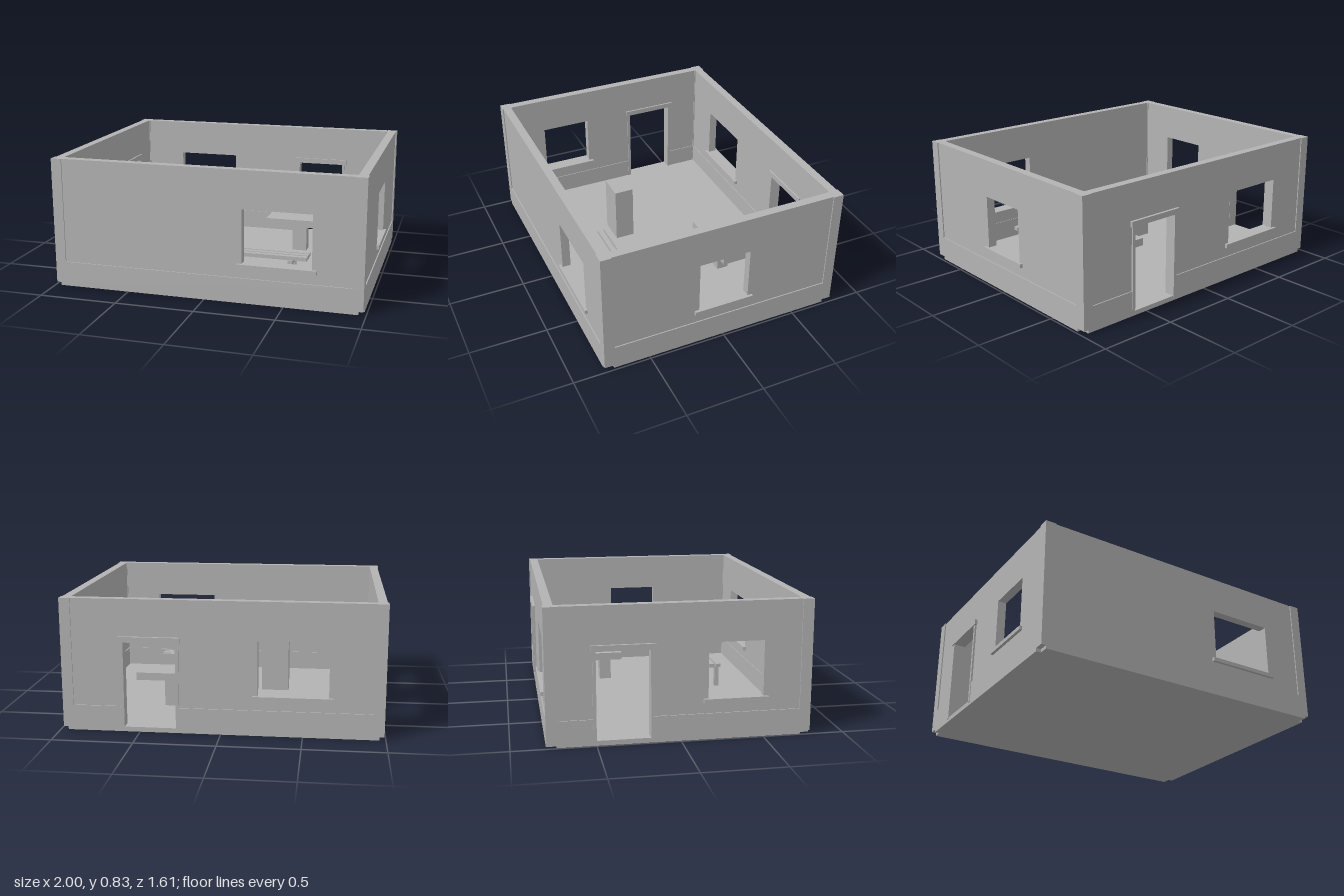
import * as THREE from 'three';

const H = 0.83, HX = 0.98, HZ = 0.787;   // wall height, outer half sizes
const T = 0.055, PROUD = 0.007;          // wall thickness, plinth and post relief
const PLINTH = 0.16, BASE = 0.02, FLOOR = 0.03;
const SILL = 0.25, HEAD = 0.59, DOOR_HEAD = 0.565;

export function createModel() {
  const plaster = new THREE.MeshStandardMaterial({ color: 0xb3b3b3 });
  plaster.name = 'grey plaster';
  const model = new THREE.Group();
  model.name = 'room';
  const house = new THREE.Group();
  house.name = 'house';
  house.position.x = -0.004;
  model.add(house);

  // Box given by its limits on each axis
  function box(parent, name, x0, x1, y0, y1, z0, z1) {
    const mesh = new THREE.Mesh(new THREE.BoxGeometry(x1 - x0, y1 - y0, z1 - z0), plaster);
    mesh.position.set((x0 + x1) / 2, (y0 + y1) / 2, (z0 + z1) / 2);
    mesh.name = name;
    parent.add(mesh);
    return mesh;
  }

  function rectangle(path, x0, x1, y0, y1) {
    path.moveTo(x0, y0);
    path.lineTo(x1, y0);
    path.lineTo(x1, y1);
    path.lineTo(x0, y1);
    path.closePath();
    return path;
  }

  // Wall facing local +z, with openings, plinth, sills and door frames
  function addWall(name, angle, halfLength, outer, windows, doors) {
    const wall = new THREE.Group();
    wall.name = name;
    wall.rotation.y = angle;
    house.add(wall);

    // Outline runs along the bottom and steps around each door
    const shape = new THREE.Shape();
    shape.moveTo(-halfLength, BASE);
    for (const [c, w] of doors) {
      shape.lineTo(c - w / 2, BASE);
      shape.lineTo(c - w / 2, HEAD);
      shape.lineTo(c + w / 2, HEAD);
      shape.lineTo(c + w / 2, BASE);
    }
    shape.lineTo(halfLength, BASE);
    shape.lineTo(halfLength, H);
    shape.lineTo(-halfLength, H);
    shape.closePath();
    for (const [c, w] of windows) {
      shape.holes.push(rectangle(new THREE.Path(), c - w / 2, c + w / 2, SILL, HEAD));
    }
    const panel = new THREE.Mesh(
      new THREE.ExtrudeGeometry(shape, { depth: T, bevelEnabled: false }), plaster);
    panel.position.z = outer - T;
    panel.name = name + 'Panel';
    wall.add(panel);

    // Plinth pieces between the doors, standing proud on both faces
    let start = -halfLength;
    for (const [c, w] of [...doors, [halfLength, 0]]) {
      box(wall, 'plinth', start, c - w / 2, BASE, PLINTH, outer - T - 0.005, outer + PROUD);
      start = c + w / 2;
    }

    for (const [c, w] of windows) {
      box(wall, 'windowSill', c - w / 2 - 0.03, c + w / 2 + 0.03, SILL - 0.025, SILL,
        outer - 0.077, outer + 0.018);
    }
    for (const [c, w] of doors) {
      for (const s of [-1, 1]) {
        const a = c + s * w / 2, b = c + s * (w / 2 - 0.02);
        box(wall, 'doorJamb', Math.min(a, b), Math.max(a, b), BASE, DOOR_HEAD,
          outer - T - 0.007, outer + 0.011);
      }
      box(wall, 'doorLintel', c - w / 2 - 0.01, c + w / 2 + 0.01, DOOR_HEAD, 0.6,
        outer - 0.066, outer + 0.017);
    }
  }

  // Openings are [centre, width] along each wall
  addWall('frontWall', 0, HX, HZ, [[0.459, 0.43]], []);
  addWall('rightWall', Math.PI / 2, HZ - T, HX, [[0, 0.335]], []);
  addWall('backWall', Math.PI, HX, HZ, [[0.436, 0.43]], [[-0.439, 0.36]]);
  addWall('leftWall', -Math.PI / 2, HZ - T, HX, [[0.332, 0.335]], [[-0.34, 0.36]]);

  // Corner posts
  const px = HX + PROUD, pz = HZ + PROUD;
  for (const sx of [-1, 1]) {
    for (const sz of [-1, 1]) {
      const post = box(house, 'cornerPost', -0.034, 0.034, BASE, H, -0.034, 0.034);
      post.position.x = sx * (px - 0.034);
      post.position.z = sz * (pz - 0.034);
    }
  }

  // Floor slab, notched below the corner posts
  const nx = px - 0.03, nz = pz - 0.06;
  const outline = new THREE.Shape([
    [-nx, -pz], [nx, -pz], [nx, -nz], [px, -nz], [px, nz], [nx, nz],
    [nx, pz], [-nx, pz], [-nx, nz], [-px, nz], [-px, -nz], [-nx, -nz],
  ].map(([x, z]) => new THREE.Vector2(x, z)));
  const slab = new THREE.Mesh(
    new THREE.ExtrudeGeometry(outline, { depth: FLOOR, bevelEnabled: false }), plaster);
  slab.rotation.x = -Math.PI / 2;
  slab.name = 'floorSlab';
  house.add(slab);

  // Table
  const table = new THREE.Group();
  table.name = 'table';
  model.add(table);
  box(table, 'tableTop', 0.15, 0.61, 0.215, 0.265, -0.385, -0.195);
  box(table, 'tablePedestal', 0.33, 0.43, FLOOR, 0.215, -0.33, -0.25);

  // Tall block
  box(model, 'pedestalBlock', -0.365, -0.18, FLOOR, 0.415, 0.115, 0.245);

  // Slatted bench
  const bench = new THREE.Group();
  bench.name = 'bench';
  model.add(bench);
  for (let i = 0; i < 3; i++) {
    const z = 0.342 + i * 0.045;
    box(bench, 'benchSlat', -0.09, 0.575, 0.19, 0.215, z, z + 0.033);
  }
  for (const x of [0.005, 0.455]) {
    box(bench, 'benchRail', x, x + 0.03, 0.165, 0.19, 0.345, 0.475);
    for (const z of [0.35, 0.445]) {
      box(bench, 'benchLeg', x, x + 0.03, FLOOR, 0.165, z, z + 0.03);
    }
  }
  return model;
}
